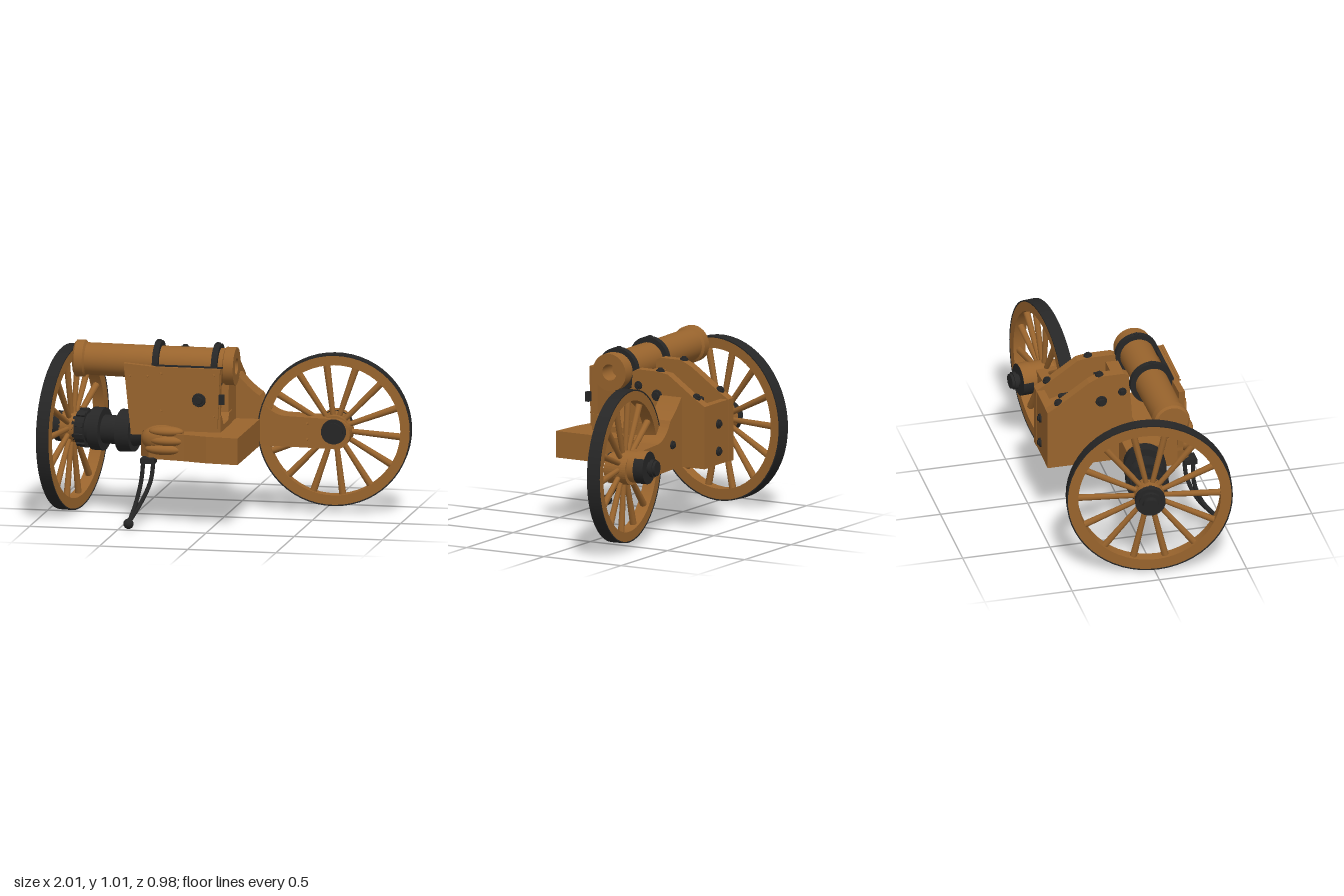
import * as THREE from 'three';

const wood = new THREE.MeshStandardMaterial({ color: 0x99642d });
wood.name = 'brown wood';
const iron = new THREE.MeshStandardMaterial({ color: 0x262626 });
iron.name = 'black iron';

const X = new THREE.Vector3(1, 0, 0);
const Y = new THREE.Vector3(0, 1, 0);

function add(parent, name, geo, mat, x = 0, y = 0, z = 0) {
  const m = new THREE.Mesh(geo, mat);
  m.name = name;
  m.position.set(x, y, z);
  parent.add(m);
  return m;
}

// box given by its limits on each axis
function box(parent, name, mat, x0, x1, y0, y1, z0, z1) {
  return add(parent, name, new THREE.BoxGeometry(x1 - x0, y1 - y0, z1 - z0), mat,
    (x0 + x1) / 2, (y0 + y1) / 2, (z0 + z1) / 2);
}

function extrude(points, depth) {
  const shape = points instanceof THREE.Shape ? points
    : new THREE.Shape(points.map(([a, b]) => new THREE.Vector2(a, b)));
  return new THREE.ExtrudeGeometry(shape, { depth, bevelEnabled: false, curveSegments: 10 });
}

// (z, y) outline pulled along x
function extrudeX(parent, name, mat, points, x0, x1) {
  const m = add(parent, name, extrude(points, x1 - x0), mat, x1, 0, 0);
  m.rotation.y = -Math.PI / 2;
  return m;
}

// turned surface along local x; each profile segment is its own band, so edges stay crisp
function lathe(parent, name, mat, profile, sides) {
  for (let i = 0; i < profile.length - 1; i++) {
    const pair = [profile[i], profile[i + 1]].map(([r, a]) => new THREE.Vector2(r, a));
    if (pair[0].distanceTo(pair[1]) < 1e-4) continue;
    add(parent, name, new THREE.LatheGeometry(pair, sides), mat).rotation.z = -Math.PI / 2;
  }
}

// turned solid from steps of [start, end, radius, end radius]
function turned(parent, name, mat, steps) {
  const pts = [[0, steps[0][0]]];
  for (const [a, b, r, r2 = r] of steps) pts.push([r, a], [r2, b]);
  pts.push([0, steps[steps.length - 1][1]]);
  lathe(parent, name, mat, pts, 28);
}

// flat ring around local x
function ring(parent, name, mat, outer, inner, width) {
  const h = width / 2;
  lathe(parent, name, mat, [[inner, -h], [outer, -h], [outer, h], [inner, h], [inner, -h]], 56);
}

// spoked wheel whose axle is local x
function wheel(name, R, width, rim, phase) {
  const g = new THREE.Group();
  g.name = name;
  ring(g, 'tyre', iron, R, R - 0.007, width);
  ring(g, 'rim', wood, R - 0.006, R - rim, width - 0.004);
  const len = R - 0.1;
  const spoke = new THREE.CylinderGeometry(0.02, 0.014, len, 8);
  for (let i = 0; i < 14; i++) {
    const a = (i + phase) * Math.PI / 7;
    const mid = 0.05 + len / 2;
    const s = add(g, 'spoke', spoke, wood, 0, Math.cos(a) * mid, Math.sin(a) * mid);
    s.rotation.x = a;
  }
  turned(g, 'woodenHub', wood, [[-0.05, 0.05, 0.085]]);
  return g;
}

// low bolt with a washer, pointing along dir
function bolt(parent, x, y, z, dir, r = 0.025, mat = iron) {
  const g = new THREE.Group();
  g.name = 'bolt';
  add(g, 'washer', new THREE.CylinderGeometry(r * 0.9, r, 0.012, 14), mat, 0, 0.003, 0);
  add(g, 'boltHead', new THREE.CylinderGeometry(r * 0.55, r * 0.65, 0.01, 6), mat, 0, 0.013, 0);
  g.position.set(x, y, z);
  g.quaternion.setFromUnitVectors(Y, new THREE.Vector3(...dir).normalize());
  parent.add(g);
}

export function createModel() {
  const root = new THREE.Group();
  root.name = 'fieldGun';

  // end wheel with its axle
  const a = wheel('endWheel', 0.463, 0.072, 0.066, 0.5);
  a.position.set(-0.865, 0.475, -0.024);
  a.quaternion.setFromUnitVectors(X, new THREE.Vector3(0.985, 0, 0.171).normalize());
  turned(a, 'hubCap', iron, [[-0.138, -0.105, 0.045], [-0.105, -0.085, 0.065], [-0.085, -0.045, 0.085]]);
  turned(a, 'axle', iron, [[0.025, 0.045, 0.085], [0.045, 0.1, 0.1], [0.1, 0.13, 0.085], [0.13, 0.195, 0.12],
    [0.195, 0.295, 0.08], [0.295, 0.375, 0.12, 0.115], [0.375, 0.46, 0.085, 0.06]]);
  for (let i = 0; i < 10; i++) {
    const t = i * Math.PI / 5;
    const lug = add(a, 'axleLug', new THREE.BoxGeometry(0.05, 0.02, 0.025), iron,
      0.075, Math.cos(t) * 0.1, Math.sin(t) * 0.1);
    lug.rotation.x = t;
  }
  root.add(a);

  // side wheel with its hub and the wooden strap over it
  const b = wheel('sideWheel', 0.428, 0.075, 0.06, 0.27);
  b.position.set(0.572, 0.47, -0.265);
  b.quaternion.setFromUnitVectors(X, new THREE.Vector3(0.121, 0, 0.993).normalize());
  turned(b, 'innerHubCap', iron, [[0.05, 0.088, 0.07], [0.088, 0.1, 0.05]]);
  turned(b, 'hubBlock', wood, [[-0.1, 0, 0.088]]);
  turned(b, 'outerHubCap', iron, [[-0.2, -0.185, 0.042], [-0.185, -0.165, 0.05], [-0.165, -0.15, 0.035],
    [-0.15, -0.09, 0.091]]);
  const strap = add(b, 'hubStrap', new THREE.CylinderGeometry(0.093, 0.093, 0.064, 20, 1, true,
    Math.PI * 1.5 - 0.85, 2.2), wood, -0.118, 0, 0);
  strap.rotation.z = -Math.PI / 2;
  root.add(b);

  // arm from the body to the side wheel
  const arm = new THREE.Shape();
  arm.moveTo(-0.02, 0.38);
  arm.lineTo(0.16, 0.38);
  arm.lineTo(0.57, 0.372);
  arm.absarc(0.585, 0.455, 0.085, -Math.PI / 2, Math.PI / 2, false);
  arm.lineTo(0.3, 0.55);
  arm.quadraticCurveTo(0.21, 0.56, 0.16, 0.66);
  arm.quadraticCurveTo(0.11, 0.69, 0.04, 0.77);
  arm.lineTo(-0.02, 0.77);
  const armMesh = add(root, 'wheelArm', extrude(arm, 0.135), wood, 0, 0, -0.312);
  armMesh.rotation.y = 0.02;
  for (const [x, y] of [[0.43, 0.51], [0.43, 0.42]]) bolt(root, x, y, -0.186, [0, 0, 1], 0.009, wood);
  bolt(root, 0.14, 0.52, -0.315, [0, 0, -1], 0.025);

  // base slab, drawn in plan as (x, -z)
  const base = add(root, 'base', extrude([[0.163, -0.425], [0.165, 0.25], [-0.28, 0.25], [-0.28, 0.05],
    [-0.42, 0.05], [-0.42, -0.25], [-0.36, -0.33], [-0.15, -0.37], [-0.02, -0.405]], 0.15), wood, 0, 0.378, 0);
  base.rotation.x = -Math.PI / 2;

  // carved scroll on the front
  for (const [x, y, z, sx, sy, sz] of [[-0.29, 0.49, 0.3, 0.12, 0.075, 0.07], [-0.26, 0.535, 0.33, 0.1, 0.03, 0.045],
    [-0.25, 0.485, 0.335, 0.11, 0.032, 0.05], [-0.27, 0.435, 0.335, 0.11, 0.032, 0.048]]) {
    add(root, 'carvedScroll', new THREE.SphereGeometry(1, 20, 14), wood, x, y, z).scale.set(sx, sy, sz);
  }

  // cradle, hollowed towards the front cheek
  extrudeX(root, 'cradle', wood, [[-0.05, 0.5], [0.27, 0.5], [0.27, 0.62], [0.235, 0.62], [0.19, 0.56],
    [0.06, 0.56], [0.03, 0.6], [-0.05, 0.6]], -0.28, 0.035);
  extrudeX(root, 'cradleEnd', wood, [[-0.05, 0.5], [0.268, 0.5], [0.268, 0.66], [0.236, 0.66], [0.21, 0.6],
    [0.16, 0.56], [0.06, 0.54], [-0.05, 0.53]], -0.475, -0.28);

  // front cheek
  add(root, 'frontCheek', extrude([[-0.475, 0.52], [0.03, 0.52], [0.035, 0.885], [-0.33, 0.885], [-0.515, 0.9]], 0.035),
    wood, 0, 0, 0.235);
  add(root, 'cheekPlate', extrude([[-0.335, 0.6], [0.02, 0.55], [0.035, 0.888], [-0.325, 0.888]], 0.018), wood, 0, 0, 0.268);
  bolt(root, -0.085, 0.71, 0.288, [0, 0, 1], 0.04);
  for (const [x, y] of [[-0.48, 0.83], [-0.38, 0.83], [-0.3, 0.85], [0, 0.85], [-0.3, 0.64], [0, 0.62]]) {
    bolt(root, x, y, x < -0.35 ? 0.266 : 0.282, [0, 0, 1], 0.009, wood);
  }
  box(root, 'cheekStrap', iron, -0.35, 0.04, 0.884, 0.892, 0.228, 0.25);
  box(root, 'cheekBracket', iron, 0.03, 0.06, 0.69, 0.745, 0.275, 0.3);

  // rear box with two sloping sides
  for (const [x0, x1, top] of [[-0.28, -0.225, 0.922], [-0.025, 0.03, 0.9]]) {
    extrudeX(root, 'boxSide', wood, [[0.03, 0.4], [0.03, 0.6], [0.008, top - 0.015], [-0.02, top], [-0.15, top],
      [-0.22, 0.89], [-0.4, 0.765], [-0.458, 0.73], [-0.458, 0.378], [0, 0.378]], x0, x1);
    bolt(root, (x0 + x1) / 2, top - 0.002, -0.155, [0, 1, 0], 0.025);
    bolt(root, (x0 + x1) / 2, 0.773, -0.39, [0, 1, -0.7], 0.025);
  }
  box(root, 'boxBack', wood, -0.23, -0.02, 0.38, 0.73, -0.457, -0.41);
  box(root, 'boxFront', wood, -0.23, -0.02, 0.38, 0.86, -0.06, 0.01);
  extrudeX(root, 'boxFloor', wood, [[-0.42, 0.38], [-0.05, 0.38], [-0.05, 0.76], [-0.18, 0.72], [-0.42, 0.66]], -0.23, -0.02);
  box(root, 'crossBar', iron, -0.23, -0.02, 0.79, 0.805, -0.13, -0.115);
  add(root, 'elevatingScrew', new THREE.CylinderGeometry(0.03, 0.036, 0.08, 16), iron, -0.125, 0.7, -0.29);
  add(root, 'screwHandle', new THREE.CapsuleGeometry(0.014, 0.09, 4, 10), iron, -0.125, 0.74, -0.3).rotation.x = Math.PI / 2;
  for (const [y, z, r] of [[0.81, -0.03, 0.025], [0.765, -0.15, 0.034]]) {
    bolt(root, 0.03, y, z, [1, 0, 0], r);
    bolt(root, -0.28, y, z, [-1, 0, 0], r);
  }
  for (const y of [0.61, 0.455]) bolt(root, -0.12, y, -0.457, [0, 0, -1], 0.027);

  // gun barrel, hollow at the +x end
  const gun = new THREE.Group();
  gun.name = 'gun';
  gun.position.set(-0.362, 0.885, 0.12);
  gun.rotation.z = -0.015;
  lathe(gun, 'barrel', wood, [[0, -0.457], [0.09, -0.457], [0.103, -0.447], [0.103, -0.4], [0.09, -0.39], [0.093, 0],
    [0.098, 0.395], [0.106, 0.4], [0.106, 0.457], [0.046, 0.457], [0.046, 0.35], [0, 0.35]], 36);
  for (const x of [0.018, 0.352]) {
    const band = new THREE.Group();
    band.name = 'barrelBand';
    band.position.x = x;
    ring(band, 'bandRing', iron, 0.123, 0.085, 0.034);
    add(band, 'bandLug', new THREE.CylinderGeometry(0.014, 0.016, 0.02, 10), iron, 0, 0.118, 0);
    gun.add(band);
  }
  root.add(gun);

  // hanging lever made of two rods
  for (const s of [-1, 1]) {
    const path = new THREE.CatmullRomCurve3([[-0.36 + s * 0.025, 0.38, 0.33 - s * 0.02],
      [-0.375 + s * 0.024, 0.25, 0.335 - s * 0.014], [-0.41 + s * 0.012, 0.13, 0.38 - s * 0.008],
      [-0.445, 0.04, 0.455]].map(p => new THREE.Vector3(...p)));
    add(root, 'leverRod', new THREE.TubeGeometry(path, 20, 0.012, 8), iron);
  }
  box(root, 'leverMount', iron, -0.4, -0.32, 0.355, 0.385, 0.295, 0.37);
  add(root, 'leverKnob', new THREE.SphereGeometry(0.029, 16, 12), iron, -0.447, 0.031, 0.462);

  return root;
}
